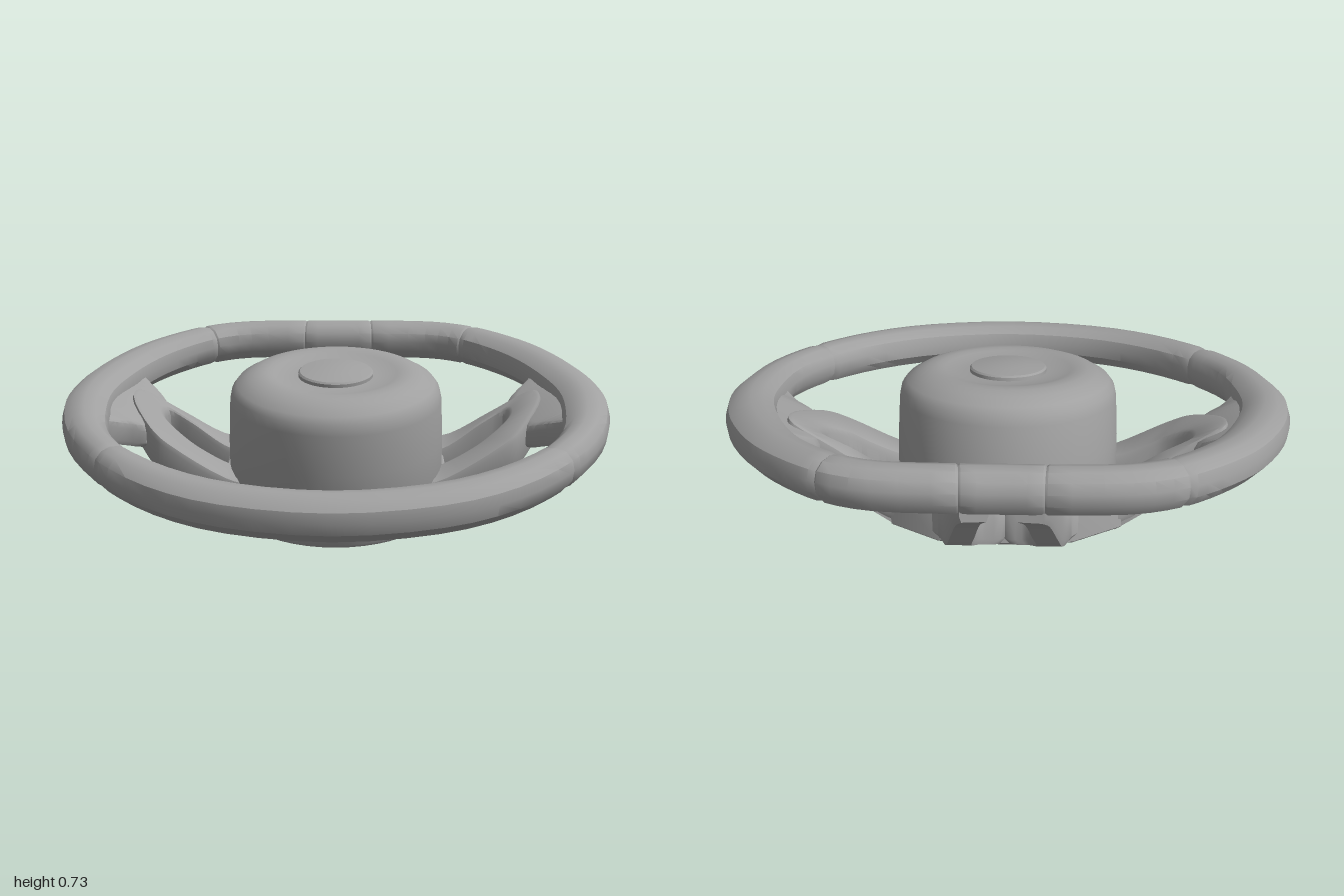
import * as THREE from 'three';
import { toCreasedNormals } from 'three/addons/utils/BufferGeometryUtils.js';

const TILT = 0.245;
const mat = new THREE.MeshStandardMaterial({ color: 0xa0a0a0 });

function add(parent, name, geometry, crease = 0.6) {
  const mesh = new THREE.Mesh(toCreasedNormals(geometry, crease), mat);
  mesh.name = name;
  parent.add(mesh);
  return mesh;
}

// point in the wheel's own plane, from x, height above the plane and level z
const P = (x, y, z) => new THREE.Vector3(x, y, (z - Math.sin(TILT) * y) / Math.cos(TILT));

// skin a cross-section [u across, v up] between two edge curves
function loft(edgeA, edgeB, profile, t0, t1, steps, pinch = 0) {
  const pos = [], idx = [], n = profile.length;
  const stops = [t0];
  if (pinch) stops.push(t0 + (t1 - t0) * 0.02);
  for (let i = 1; i < steps; i++) stops.push(t0 + (t1 - t0) * i / steps);
  if (pinch) stops.push(t1 - (t1 - t0) * 0.02);
  stops.push(t1);
  stops.forEach((t, k) => {
    const w = t >= 0 && t <= 1 ? t : t - Math.floor(t);
    const a = edgeA.getPoint(w), b = edgeB.getPoint(w);
    const s = k === 0 || k === stops.length - 1 ? 1 - pinch : 1;
    for (const [u, v] of profile) {
      const p = a.clone().lerp(b, (u * s + 1) / 2);
      pos.push(p.x, p.y + v * s, p.z);
    }
  });
  const rings = stops.length;
  for (let r = 0; r < rings - 1; r++) for (let j = 0; j < n; j++) {
    const a = r * n + j, b = r * n + (j + 1) % n;
    idx.push(a, b, a + n, b, b + n, a + n);
  }
  for (let j = 1; j < n - 1; j++) {
    const e = (rings - 1) * n;
    idx.push(0, j + 1, j, e, e + j, e + j + 1);
  }
  // turn the faces outward whichever way the edges run
  const at = i => new THREE.Vector3().fromArray(pos, i * 3);
  let volume = 0;
  for (let i = 0; i < idx.length; i += 3) volume += at(idx[i]).dot(at(idx[i + 1]).cross(at(idx[i + 2])));
  if (volume < 0) idx.reverse();
  const g = new THREE.BufferGeometry();
  g.setAttribute('position', new THREE.Float32BufferAttribute(pos, 3));
  g.setIndex(idx);
  return g;
}

// bar with a chamfered box section hanging below its two upper edges
function bar(parent, name, stations, thick, side, steps) {
  const curve = k => new THREE.CatmullRomCurve3(
    stations.map(s => P(side * s[k][0], s[k][1], s[k][2])), false, 'centripetal');
  const profile = [[-1, -0.025], [-0.9, -0.006], [-0.7, 0], [0.7, 0], [0.9, -0.006], [1, -0.025],
    [1, 0.02 - thick], [0.85, -thick], [-0.85, -thick], [-1, 0.02 - thick]];
  add(parent, name, loft(curve(0), curve(1), profile, 0, 1, steps));
}

function lathe(points, sides) {
  return new THREE.LatheGeometry(points.map(p => new THREE.Vector2(...p)), sides);
}

// flat plate lying in the wheel plane, outline in x and z
function plate(outline, top, thick, side = 1) {
  const shape = new THREE.Shape(outline.map(([x, z]) => new THREE.Vector2(side * x, -z)));
  const g = new THREE.ExtrudeGeometry(shape, { depth: thick - 0.01, bevelSize: 0.005,
    bevelThickness: 0.005, bevelSegments: 1 });
  return g.rotateX(-Math.PI / 2).translate(0, top - thick + 0.005, 0);
}

function buildRim(wheel) {
  // outer and inner edges from the front centre round to the back centre
  const outer = [[0, .915], [.35, .855], [.6, .72], [.8, .51], [.935, .27], [.995, .03], [.995, -.15],
    [.95, -.35], [.85, -.56], [.73, -.71], [.58, -.835], [.4, -.905], [.13, -.92], [0, -.92]];
  const inner = [[0, .755], [.29, .705], [.51, .59], [.69, .42], [.785, .25], [.82, .05], [.82, -.13],
    [.77, -.31], [.7, -.47], [.61, -.6], [.495, -.71], [.36, -.765], [.14, -.775], [0, -.775]];
  const ring = half => new THREE.CatmullRomCurve3(
    [...half, ...half.slice(1, -1).reverse().map(([x, z]) => [-x, z])].map(([x, z]) => P(x, 0, z)),
    true, 'catmullrom', 0.5);
  const A = ring(outer), B = ring(inner), count = 26;
  const profile = [[-1, .01], [-.88, .045], [-.5, .07], [0, .078], [.5, .07], [.88, .045], [1, .01],
    [.93, -.03], [.5, -.068], [-.5, -.068], [-.93, -.03]];
  const parts = [['rimFront', -3, 3], ['rimLeft', 3, 10], ['rimBackLeft', 10, 12],
    ['rimBackCentre', 12, 14], ['rimBackRight', 14, 16], ['rimRight', 16, 23]];
  for (const [name, a, b] of parts)
    add(wheel, name, loft(A, B, profile, a / count, b / count, (b - a) * 3, 0.06));
}

function buildHub(wheel) {
  const hub = new THREE.Group();
  hub.name = 'hub';
  hub.position.z = -0.05;
  wheel.add(hub);
  add(hub, 'hubBody', lathe([[0, -.36], [.39, -.372], [.396, -.36], [.395, -.1], [.388, .05], [.38, .088],
    [.362, .112], [.32, .137], [.285, .149], [.25, .151], [.225, .146], [.19, .138], [.145, .136], [0, .136]], 48), 0.7);
  add(hub, 'hubCap', lathe([[.137, .12], [.137, .148], [.131, .154], [.07, .163], [0, .166]], 40));
  // lower housing that the spokes grow from
  const half = [[.12, -.45], [.23, -.43], [.4, -.29], [.405, -.05], [.385, 0]];
  add(wheel, 'hubHousing', plate([...half, ...half.slice().reverse().map(([x, z]) => [-x, z])], -.225, .14));
}

function buildSide(wheel, side) {
  const group = new THREE.Group();
  group.name = side > 0 ? 'leftSpokes' : 'rightSpokes';
  wheel.add(group);

  // one leg of the forked back spoke
  bar(group, 'backSpokeLeg', [
    [[0, -.235, -.4], [.29, -.235, -.4]],
    [[0, -.23, -.515], [.235, -.225, -.49]],
    [[.075, -.222, -.54], [.218, -.215, -.54]],
    [[.1, -.205, -.58], [.202, -.2, -.59]],
    [[.088, -.13, -.67], [.182, -.13, -.67]],
    [[.065, -.03, -.77], [.155, -.03, -.78]],
    [[.04, .03, -.87], [.13, .03, -.88]]], .125, side, 24);

  // looped side spoke: rear leg, outer tip, front leg
  bar(group, 'sideSpoke', [
    [[.28, -.215, -.18], [.28, -.215, -.4]],
    [[.41, -.195, -.2], [.42, -.19, -.33]],
    [[.55, -.11, -.215], [.6, -.085, -.287]],
    [[.64, -.06, -.215], [.755, .01, -.25]],
    [[.64, -.06, -.14], [.772, .015, -.165]],
    [[.57, -.1, -.085], [.67, -.045, .03]],
    [[.5, -.145, -.073], [.6, -.085, .066]],
    [[.38, -.2, -.063], [.38, -.2, .085]],
    [[.28, -.215, -.05], [.28, -.215, .09]]], .15, side, 36);

  // web blending the rim into the side spoke
  bar(group, 'rimWeb', [
    [[.8, .03, -.45], [.86, .04, -.45]],
    [[.735, .005, -.36], [.9, .05, -.36]],
    [[.65, -.05, -.285], [.92, .06, -.25]],
    [[.68, -.045, -.15], [.92, .06, -.12]],
    [[.69, -.045, -.02], [.92, .06, 0]],
    [[.76, -.02, .025], [.91, .05, .06]],
    [[.84, .025, .11], [.89, .04, .12]]], .095, side, 20);

  // shift paddle and the two arms that carry it
  add(group, 'paddle', plate([[.53, -.16], [.67, -.17], [.71, -.04], [.75, .03], [.75, .1], [.73, .165],
    [.705, .18], [.665, .17], [.645, .12], [.6, .03], [.53, .01]], -.235, .022, side));
  for (const z of [-.155, .03]) {
    const shape = new THREE.Shape([[.39, -.425], [.68, -.24], [.68, -.2], [.64, -.2], [.38, -.37]]
      .map(([x, y]) => new THREE.Vector2(side * x, y)));
    const arm = new THREE.ExtrudeGeometry(shape, { depth: .032, bevelEnabled: false });
    add(group, 'paddleArm', arm.translate(0, 0, z - .016));
  }
}

export function createModel() {
  const model = new THREE.Group();
  model.name = 'steeringWheel';
  const wheel = new THREE.Group();
  wheel.name = 'tiltedWheel';
  wheel.rotation.x = TILT;
  wheel.position.y = 0.445;
  model.add(wheel);
  buildRim(wheel);
  buildHub(wheel);
  for (const side of [1, -1]) buildSide(wheel, side);
  return model;
}
